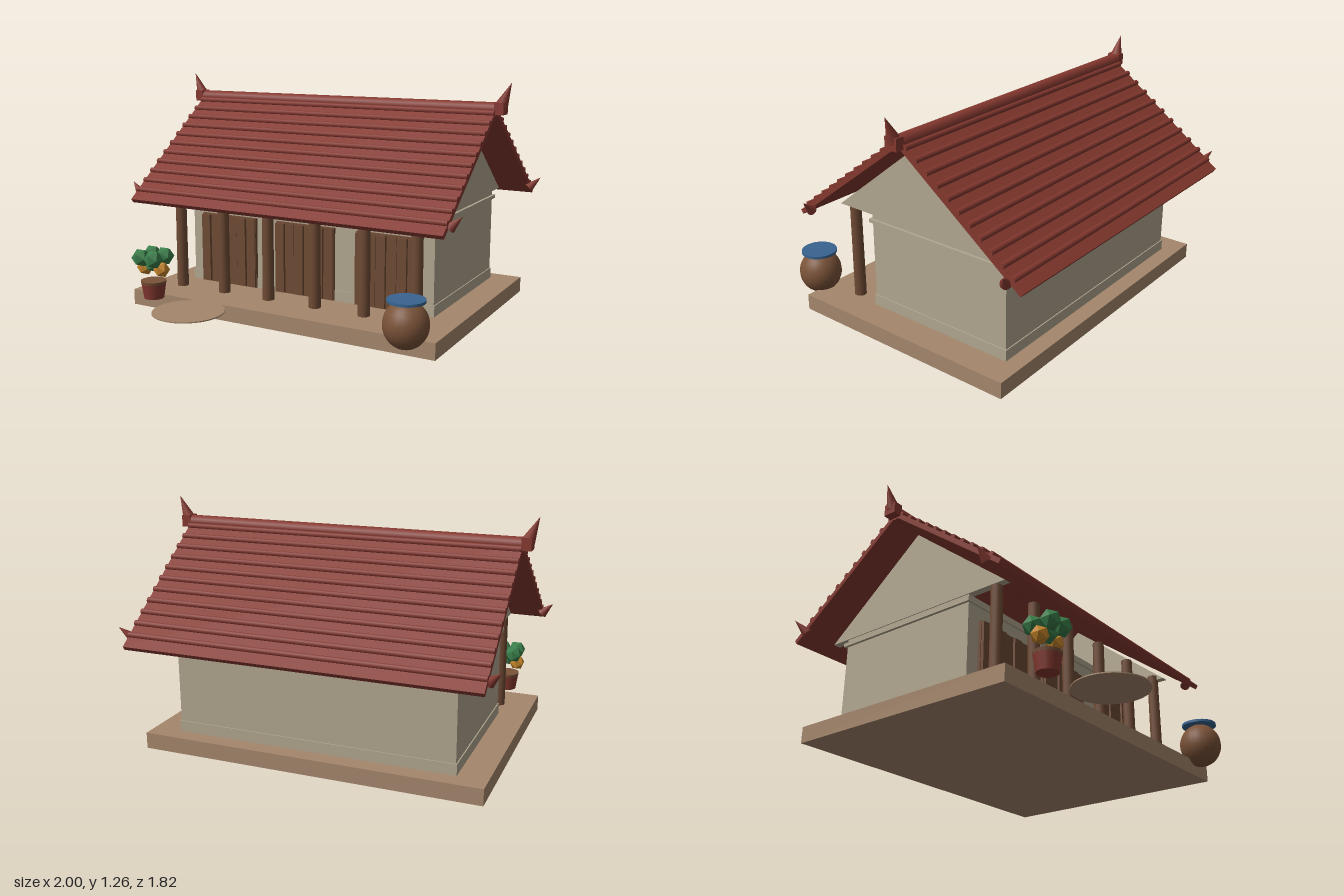
import * as THREE from 'three';

const material = (name, color) => {
  const m = new THREE.MeshStandardMaterial({ color });
  m.name = name;
  return m;
};

export function createModel() {
  const group = new THREE.Group();
  const plaster = material('plaster', 0xb0a68e);
  const stone = material('stone', 0xa4866c);
  const tile = material('roof tile', 0x84382f);
  const wood = material('wood', 0x6e4a34);
  const clay = material('clay', 0x7a5238);
  const blue = material('blue lid', 0x386490);
  const green = material('leaf green', 0x3a7d4a);
  const amber = material('flower amber', 0xc4842a);
  green.flatShading = amber.flatShading = true;

  const add = (name, geometry, mat, x, y, z) => {
    const mesh = new THREE.Mesh(geometry, mat);
    mesh.name = name;
    mesh.position.set(x, y, z);
    group.add(mesh);
    return mesh;
  };
  // Box given by its lower and upper limits on each axis
  const box = (name, mat, x0, x1, y0, y1, z0, z1) =>
    add(name, new THREE.BoxGeometry(x1 - x0, y1 - y0, z1 - z0), mat,
      (x0 + x1) / 2, (y0 + y1) / 2, (z0 + z1) / 2);
  // Outline in the z-y plane, extruded along x and centred on x
  const prism = (name, mat, points, width, x, z) => {
    const shape = new THREE.Shape(points.map(([u, v]) => new THREE.Vector2(u, v)));
    const g = new THREE.ExtrudeGeometry(shape, { depth: width, bevelEnabled: false });
    g.translate(0, 0, -width / 2).rotateY(Math.PI / 2);
    return add(name, g, mat, x, 0, z);
  };
  // Cone from a base centre to a tip
  const horn = (name, radius, from, to) => {
    const a = new THREE.Vector3(...from), d = new THREE.Vector3(...to).sub(a);
    const length = d.length();
    const g = new THREE.ConeGeometry(radius, length, 10).translate(0, length / 2, 0);
    const mesh = add(name, g, tile, ...from);
    mesh.quaternion.setFromUnitVectors(new THREE.Vector3(0, 1, 0), d.normalize());
  };

  // Platform and walls
  box('platform', stone, -0.91, 0.91, 0, 0.086, -0.78, 0.53);
  box('walls', plaster, -0.75, 0.75, 0.086, 0.605, -0.685, 0.168);
  box('plinthBand', plaster, -0.756, 0.756, 0.086, 0.145, -0.691, 0.174);
  box('wallTrim', plaster, -0.765, 0.765, 0.562, 0.582, -0.70, 0.18);

  // Gable plates
  const ridgeZ = -0.2;
  for (const s of [-1, 1])
    prism('gable', plaster, [[-0.595, 0.605], [0.595, 0.605], [0, 1.077]], 0.04, s * 0.735, ridgeZ);

  // Roof sheet with rolled tile ribs on both slopes
  const roofY = (off) => 0.597 + (0.71 - off) * 0.753;
  prism('roofSheet', tile, [
    [-0.71, roofY(0.71)], [-0.695, 0.577], [0, roofY(0) - 0.031],
    [0.695, 0.577], [0.71, roofY(0.71)], [0, roofY(0)],
  ], 1.85, 0, ridgeZ);
  const rib = new THREE.CylinderGeometry(0.015, 0.015, 1.85, 8).rotateZ(Math.PI / 2);
  for (const s of [-1, 1])
    for (let i = 0; i < 11; i++) {
      const off = 0.65 - i * 0.061;
      add('tileRib', rib, tile, 0, roofY(off) + 0.002, ridgeZ + s * off);
    }
  add('ridgeCap', new THREE.CylinderGeometry(0.037, 0.037, 1.85, 12).rotateZ(Math.PI / 2),
    tile, 0, 1.121, ridgeZ);

  // Ridge finials and eave horns
  for (const s of [-1, 1]) {
    box('finialBase', tile, s * 0.945 - 0.025, s * 0.945 + 0.025, 1.095, 1.158, ridgeZ - 0.036, ridgeZ + 0.036);
    horn('ridgeFinial', 0.036, [s * 0.945, 1.135, ridgeZ], [s * 0.998, 1.26, ridgeZ]);
    horn('eaveHorn', 0.028, [s * 0.925, 0.617, 0.425], [s * 0.985, 0.678, 0.415]);
    horn('eaveHorn', 0.028, [s * 0.925, 0.617, -0.815], [s * 0.985, 0.678, -0.85]);
  }

  // Porch posts
  const post = new THREE.CylinderGeometry(0.03, 0.032, 0.545, 12);
  for (let i = 0; i < 6; i++) add('porchPost', post, wood, -0.725 + i * 0.289, 0.358, 0.322);

  // Plank doors
  for (const x of [-0.495, 0, 0.492]) {
    box('doorPanel', wood, x - 0.18, x + 0.18, 0.09, 0.488, 0.168, 0.186);
    for (let i = 0; i < 6; i++) {
      const px = x - 0.15 + i * 0.06;
      box('doorPlank', wood, px - 0.027, px + 0.027, 0.095, 0.482, 0.18, i % 2 ? 0.194 : 0.202);
    }
  }

  // Stepping disc
  add('steppingDisc', new THREE.CylinderGeometry(0.188, 0.188, 0.006, 40), stone, -0.382, 0.092, 0.722);

  // Water jar with lid
  add('jar', new THREE.SphereGeometry(0.113, 24, 16).scale(1, 1.06, 1), clay, 0.776, 0.168, 0.57);
  add('jarLid', new THREE.CylinderGeometry(0.094, 0.094, 0.014, 28), blue, 0.776, 0.286, 0.57);

  // Flower pot
  const px = -0.705, pz = 0.603;
  add('flowerPot', new THREE.CylinderGeometry(0.068, 0.054, 0.092, 16), tile, px, 0.134, pz);
  add('potRim', new THREE.CylinderGeometry(0.07, 0.067, 0.016, 16), clay, px, 0.178, pz);
  const leaf = new THREE.IcosahedronGeometry(0.052, 0);
  for (const sx of [-1, 1])
    for (const sz of [-1, 1])
      add('foliage', leaf, green, px + sx * 0.042, 0.316, pz + sz * 0.048);
  add('foliage', leaf, green, px, 0.28, pz);
  const bloom = new THREE.IcosahedronGeometry(0.046, 0);
  for (const s of [-1, 1]) add('flower', bloom, amber, px + s * 0.056, 0.252, pz);

  return group;
}
